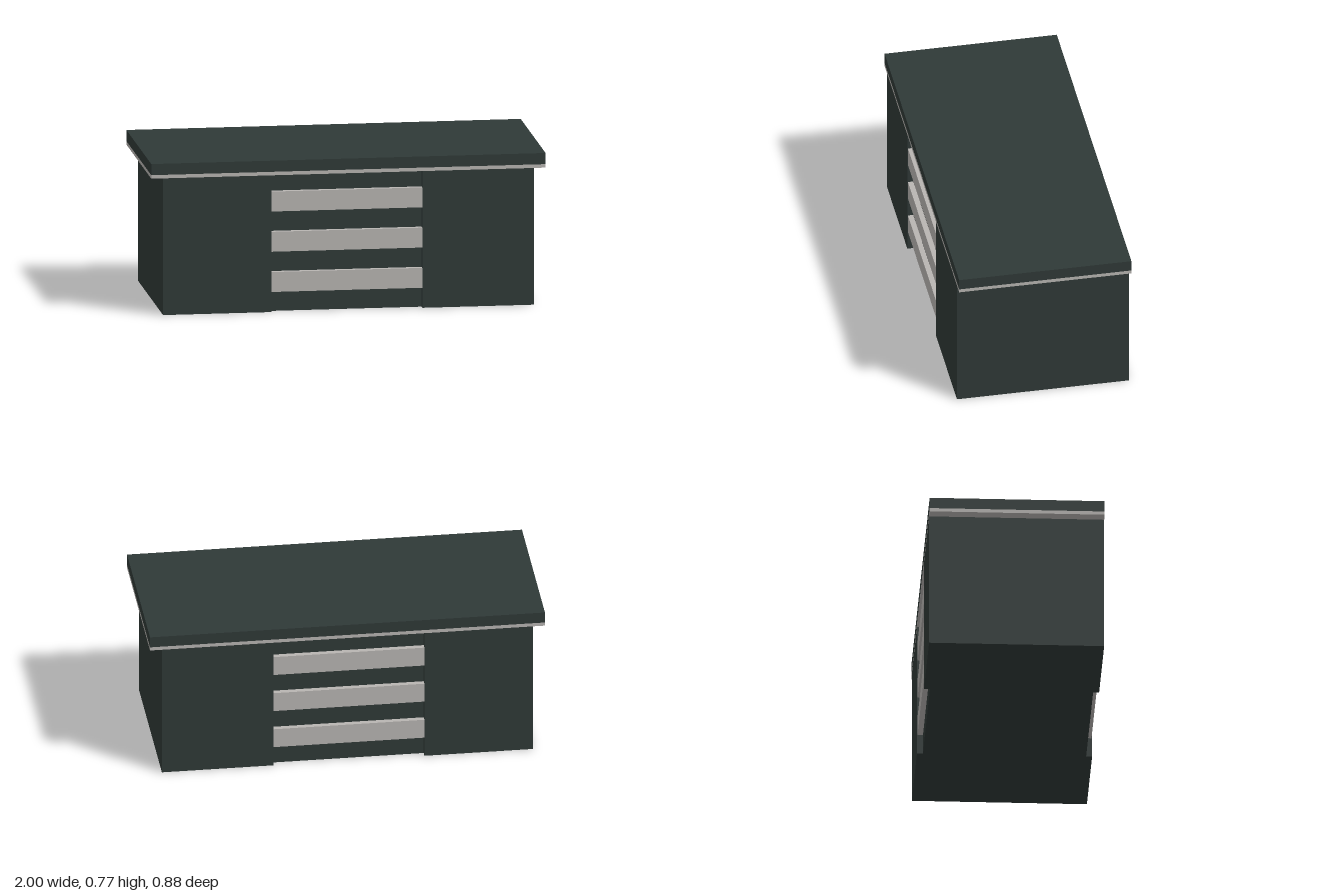
import * as THREE from 'three';

export function createModel() {
  const model = new THREE.Group();
  const dark = new THREE.MeshStandardMaterial({ color: 0x2f3937 });
  dark.name = 'dark slate';
  const light = new THREE.MeshStandardMaterial({ color: 0xb8b5b2 });
  light.name = 'light grey';

  // Box given by its min and max on each axis
  function box(name, material, [x0, x1], [y0, y1], [z0, z1]) {
    const mesh = new THREE.Mesh(new THREE.BoxGeometry(x1 - x0, y1 - y0, z1 - z0), material);
    mesh.position.set((x0 + x1) / 2, (y0 + y1) / 2, (z0 + z1) / 2);
    mesh.name = name;
    model.add(mesh);
  }

  const depth = [-0.44, 0.44];
  const middle = [-0.39, 0.375];

  // Worktop with its pale band underneath
  box('worktop', dark, [-1, 1], [0.718, 0.775], depth);
  box('worktopBand', light, [-1, 1], [0.7, 0.718], depth);

  // Two full-depth end blocks and the recessed middle
  box('rightBlock', dark, [-0.94, middle[0]], [0, 0.7], depth);
  box('leftBlock', dark, [middle[1], 0.94], [0, 0.7], depth);
  box('middleBlock', dark, middle, [0, 0.7], [-0.41, 0.41]);

  // Raised slats across the recess, front and back
  for (const y of [0.102, 0.308, 0.514]) {
    box('frontSlat', light, middle, [y, y + 0.102], [0.41, 0.437]);
    box('backSlat', light, middle, [y, y + 0.102], [-0.437, -0.41]);
  }
  return model;
}
